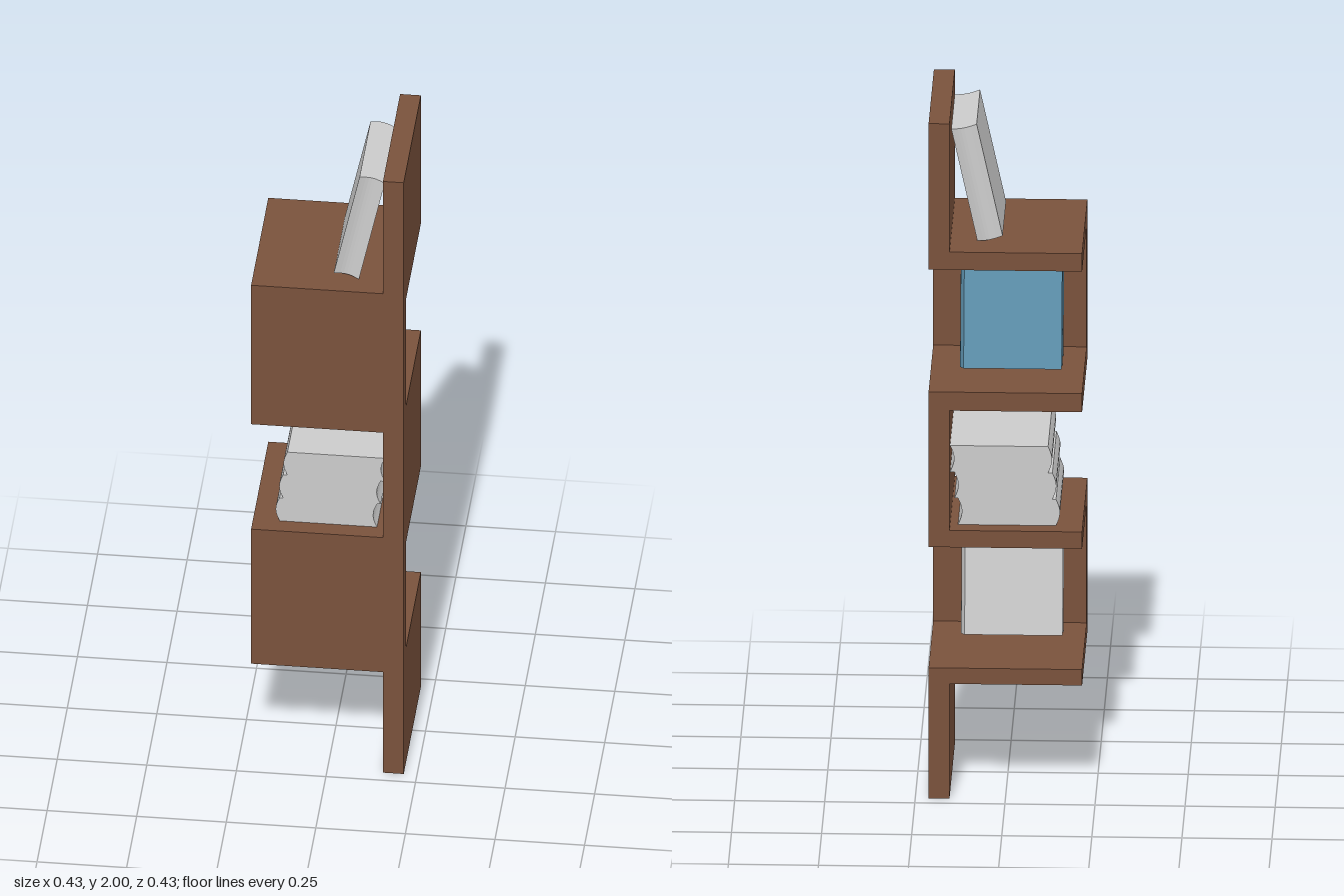
import * as THREE from 'three';

const wood = new THREE.MeshStandardMaterial({ color: 0x7a523c });
const grey = new THREE.MeshStandardMaterial({ color: 0xcccccc, flatShading: true });
const blue = new THREE.MeshStandardMaterial({ color: 0x5f94b0, flatShading: true });

const HALF = 0.213; // half of the square footprint
const PANEL = 0.058; // panel thickness

function box(name, w, h, d, x, y, z) {
  const mesh = new THREE.Mesh(new THREE.BoxGeometry(w, h, d), wood);
  mesh.name = name;
  mesh.position.set(x, y, z);
  return mesh;
}

// Book standing on its lower +x edge: rounded spine at -z, hollow page edge at +z
function book(name, material, thickness, height) {
  const spine = -0.121, fore = 0.151, bulge = 0.011, steps = 8;
  const arc = (i) => bulge * Math.sin((Math.PI * i) / steps);
  const points = [];
  for (let i = 0; i <= steps; i++) {
    points.push(new THREE.Vector2(-thickness + (thickness * i) / steps, -fore + arc(i)));
  }
  for (let i = 0; i <= steps; i++) {
    points.push(new THREE.Vector2((-thickness * i) / steps, -spine + arc(i)));
  }
  const geometry = new THREE.ExtrudeGeometry(new THREE.Shape(points), { depth: height, bevelEnabled: false });
  geometry.rotateX(-Math.PI / 2);
  const mesh = new THREE.Mesh(geometry, material);
  mesh.name = name;
  return mesh;
}

export function createModel() {
  const model = new THREE.Group();
  model.name = 'zigzagBookcase';

  // Shelves join panels that alternate between the side and the front
  const shelves = [[0.34, 0.387], [0.745, 0.795], [1.15, 1.205], [1.567, 1.62]];
  for (const [low, high] of shelves) {
    model.add(box('shelf', 2 * HALF, high - low, 2 * HALF, 0, (low + high) / 2, 0));
  }
  const levels = [0, ...shelves.flat(), 2];
  for (let i = 0; i < 5; i++) {
    const low = levels[2 * i], high = levels[2 * i + 1];
    const h = high - low, y = (low + high) / 2, offset = HALF - PANEL / 2;
    model.add(i % 2 === 0
      ? box('sidePanel', PANEL, h, 2 * HALF, offset, y, 0)
      : box('frontPanel', 2 * HALF, h, PANEL, 0, y, offset));
  }

  // Leaning books, resting on the side panel or turned to rest on the front panel
  const lean = (name, material, y, foot, onFront) => {
    const mesh = book(name, material, 0.072, 0.338);
    mesh.rotation.set(0, onFront ? -Math.PI / 2 : 0, -0.215);
    mesh.position.set(onFront ? 0 : foot, y, onFront ? foot : 0);
    model.add(mesh);
  };
  lean('topLeaningBook', grey, 1.62, 0.081, false);
  lean('blueBook', blue, 1.205, 0.083, true);
  lean('blueBook', blue, 1.205, 0.005, true);
  lean('lowerLeaningBook', grey, 0.387, 0.081, true);

  // Stack of three books lying flat, spines towards -x
  const lying = new THREE.Matrix4().makeBasis(
    new THREE.Vector3(0, 1, 0), new THREE.Vector3(0, 0, 1), new THREE.Vector3(1, 0, 0));
  [-0.018, -0.008, 0.004].forEach((x, i) => {
    const thickness = 0.078;
    const mesh = book('stackedBook', grey, thickness, 0.33);
    mesh.quaternion.setFromRotationMatrix(lying);
    mesh.position.set(x, 0.795 + thickness * (i + 1), -0.166);
    model.add(mesh);
  });

  return model;
}
